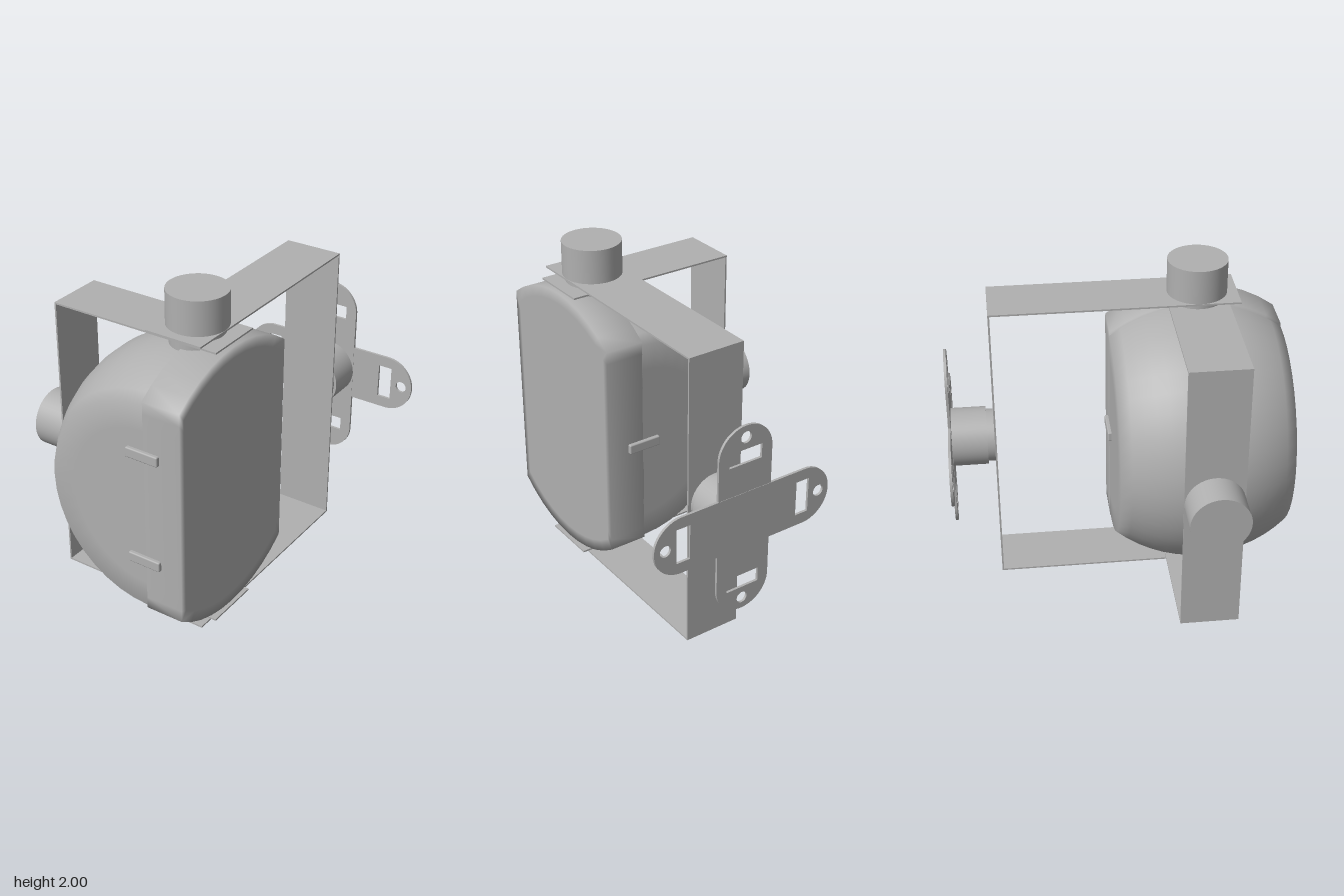
import * as THREE from 'three';
import { RoundedBoxGeometry } from 'three/addons/geometries/RoundedBoxGeometry.js';

const CX = 0.225, CY = 0.905, CZ = 0.465; // pivot centre of the lamp

export function createModel() {
  const model = new THREE.Group();
  const grey = new THREE.MeshStandardMaterial({ color: 0xb0b0b0 });
  grey.name = 'grey metal';

  function add(name, geometry, x = 0, y = 0, z = 0, parent = model) {
    const mesh = new THREE.Mesh(geometry, grey);
    mesh.name = name;
    mesh.position.set(x, y, z);
    parent.add(mesh);
    return mesh;
  }
  // Box given by its two extreme corners
  function box(name, [x0, y0, z0], [x1, y1, z1], parent) {
    add(name, new THREE.BoxGeometry(x1 - x0, y1 - y0, z1 - z0),
      (x0 + x1) / 2, (y0 + y1) / 2, (z0 + z1) / 2, parent);
  }
  // Cylinder between two positions along one axis, through the given centre
  function disc(name, axis, from, to, radius, centre) {
    const g = new THREE.CylinderGeometry(radius, radius, to - from, 48);
    if (axis === 'x') g.rotateZ(Math.PI / 2);
    if (axis === 'z') g.rotateX(Math.PI / 2);
    const mesh = add(name, g, ...centre);
    mesh.position[axis] = (from + to) / 2;
  }

  // Rear housing: half a ball with flattened sides, turned about the z axis
  const R = 0.805, H = 0.5, edge = Math.asin(H / R);
  const profile = [[0, -H], [0.25, -H], [0.48, -H]];
  for (let i = 0; i <= 14; i++) {
    const a = -edge + (2 * edge * i) / 14;
    profile.push([R * Math.cos(a), R * Math.sin(a)]);
  }
  profile.push([0.48, H], [0.25, H], [0, H]);
  const dome = new THREE.LatheGeometry(
    profile.map(([r, h]) => new THREE.Vector2(r, h)), 20, Math.PI, Math.PI);
  dome.scale(0.785 / R, 1, 1).rotateX(Math.PI / 2);
  add('rearHousing', dome, CX, CY, CZ);

  // Front cover: circle with clamped sides, lofted along x
  const rings = [[0.222, 0.9], [0.222, 1], [0.455, 1], [0.455, 0.92], [0.455, 0.5], [0.455, 0.001]];
  const N = 48, pos = [], index = [];
  rings.forEach(([x, s], k) => {
    for (let i = 0; i < N; i++) {
      const t = (i / N) * Math.PI * 2;
      const z = THREE.MathUtils.clamp(0.82 * Math.cos(t), -H, H);
      pos.push(x, 0.82 * Math.sin(t) * s, z * s);
      if (k === 0) continue;
      const a = (k - 1) * N + i, b = (k - 1) * N + ((i + 1) % N);
      index.push(a, a + N, b, b, a + N, b + N);
    }
  });
  const cover = new THREE.BufferGeometry();
  cover.setAttribute('position', new THREE.Float32BufferAttribute(pos, 3));
  cover.setIndex(index);
  cover.computeVertexNormals();
  add('frontCover', cover, 0, CY, CZ);

  // Clips across the seam
  for (const [y, z] of [[1.237, 0.97], [0.573, 0.97], [0.903, -0.04]]) {
    add('clip', new RoundedBoxGeometry(0.205, 0.06, 0.032, 2, 0.008), 0.222, y, z);
  }

  // Inner yoke, open towards +x
  const inner = new THREE.Group();
  inner.name = 'innerYoke';
  model.add(inner);
  box('innerYokeBack', [-0.603, 0.045, 0.292], [-0.593, 1.76, 0.637], inner);
  box('innerYokeTop', [-0.603, 1.75, 0.292], [0.455, 1.76, 0.637], inner);
  box('innerYokeBottom', [-0.603, 0.045, 0.292], [0.455, 0.055, 0.637], inner);

  // Outer yoke, open towards +z
  const outer = new THREE.Group();
  outer.name = 'outerYoke';
  model.add(outer);
  box('outerYokeBack', [0.052, 0.006, -0.725], [0.398, 1.8, -0.715], outer);
  box('outerYokeTop', [0.052, 1.79, -0.725], [0.398, 1.8, 0.692], outer);
  box('outerYokeBottom', [0.052, 0.006, -0.725], [0.398, 0.016, 0.692], outer);

  // Pivots and knobs
  const centre = [CX, CY, CZ], rear = [CX, CY, 0];
  disc('topKnob', 'y', 1.8, 2, 0.172, centre);
  disc('topPivot', 'y', 1.69, 1.795, 0.155, centre);
  disc('bottomPivot', 'y', 0, 0.12, 0.155, centre);
  disc('sideKnob', 'x', -0.805, -0.603, 0.172, centre);
  disc('sidePivot', 'x', -0.6, -0.53, 0.152, centre);
  disc('rearPivot', 'z', -0.77, -0.72, 0.155, rear);
  disc('rearKnob', 'z', -0.978, -0.767, 0.172, rear);

  // Crossed wall plates with round ends, slots and screw holes
  const w = 0.172, L = 0.575 - w;
  const strap = new THREE.Shape();
  strap.absarc(L, 0, w, -Math.PI / 2, Math.PI / 2, false);
  strap.absarc(-L, 0, w, Math.PI / 2, Math.PI * 1.5, false);
  for (const s of [-1, 1]) {
    const hole = new THREE.Path();
    hole.absarc(s * 0.505, 0, 0.034, 0, Math.PI * 2, true);
    const slot = new THREE.Path([[0.35, -0.105], [0.35, 0.105], [0.435, 0.105], [0.435, -0.105]]
      .map(([x, y]) => new THREE.Vector2(s * x, y)));
    strap.holes.push(hole, slot);
  }
  const plate = new THREE.ExtrudeGeometry(strap, { depth: 0.015, bevelEnabled: false, curveSegments: 20 });
  add('wallPlateAcross', plate, CX, CY, -0.99);
  add('wallPlateUpright', plate, CX, CY, -0.988).rotation.z = Math.PI / 2;

  return model;
}
